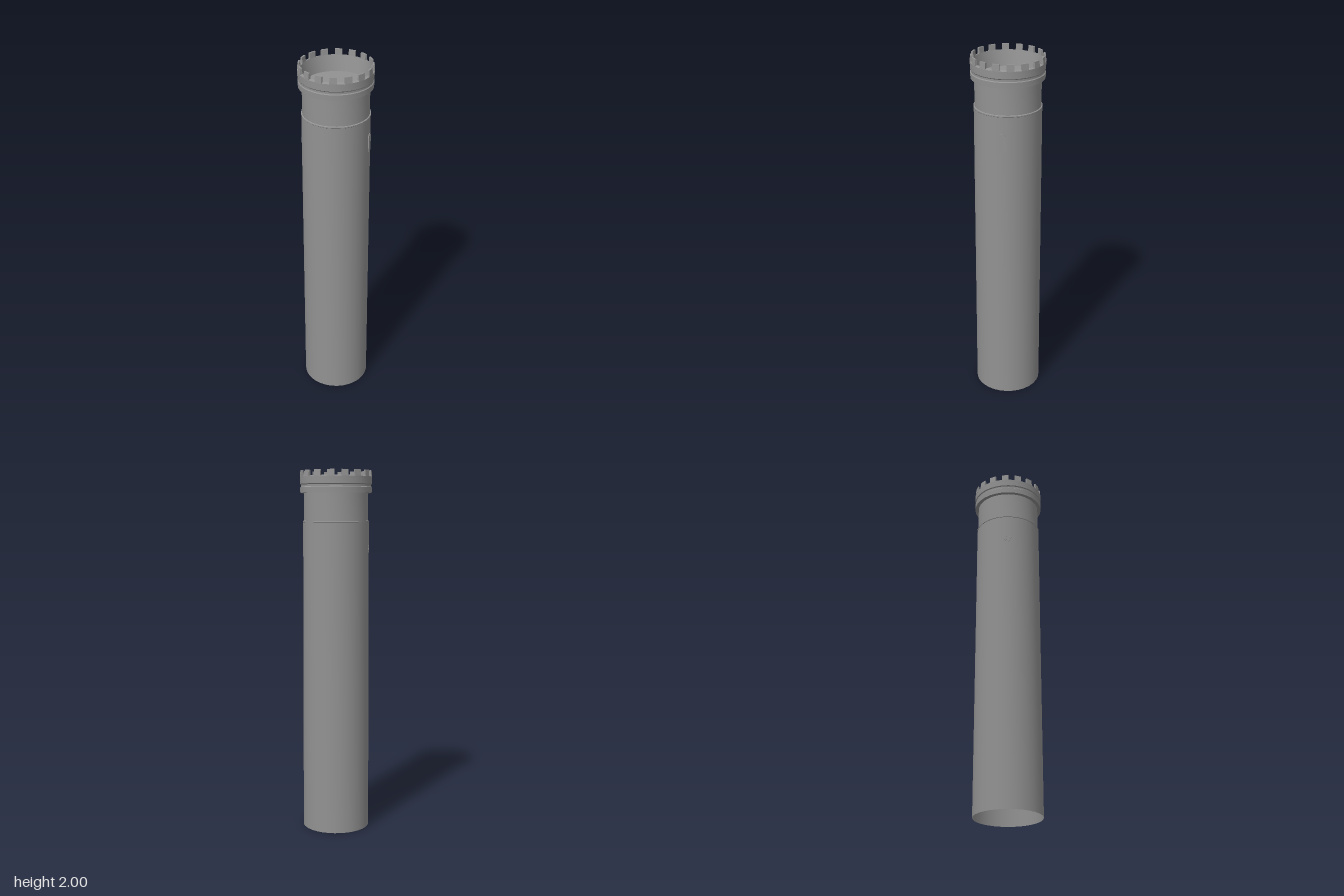
import * as THREE from 'three';
import { toCreasedNormals } from 'three/addons/utils/BufferGeometryUtils.js';

const SIDES = 32;
const STEP = (Math.PI * 2) / SIDES;

export function createModel() {
  const tower = new THREE.Group();
  tower.name = 'tower';
  const stone = new THREE.MeshStandardMaterial({ color: 0x929292, side: THREE.DoubleSide });
  stone.name = 'grey stone';

  const add = (name, geometry, parent = tower) => {
    const mesh = new THREE.Mesh(geometry, stone);
    mesh.name = name;
    parent.add(mesh);
    return mesh;
  };
  const turned = (name, profile) => {
    const points = profile.map(([r, y]) => new THREE.Vector2(r, y));
    return add(name, toCreasedNormals(new THREE.LatheGeometry(points, SIDES), 0.4));
  };

  // Tapered shaft, open at the foot, with a thin string course below the neck
  turned('shaft', [[0.186, 0], [0.181, 1.718]]);
  turned('stringCourse', [[0.181, 1.718], [0.183, 1.72], [0.183, 1.726], [0.177, 1.728]]);
  turned('neck', [[0.177, 1.728], [0.176, 1.878]]);

  // Crown: two bands with a groove, then the sloping inner wall
  turned('crown', [
    [0.176, 1.878], [0.196, 1.878], [0.197, 1.908], [0.193, 1.912], [0.193, 1.922],
    [0.197, 1.927], [0.198, 1.966], [0.183, 1.97], [0.166, 1.885],
  ]);
  turned('roofFloor', [[0.166, 1.885], [0, 1.885]]);

  // Merlons: boxes bent onto the rim, one on every second side
  const merlons = new THREE.Group();
  merlons.name = 'battlements';
  tower.add(merlons);
  for (let i = 0; i < SIDES; i += 2) {
    const box = new THREE.BoxGeometry(1, 1, 1);
    const p = box.attributes.position;
    for (let v = 0; v < p.count; v++) {
      const top = p.getY(v) > 0;
      const angle = (i - 0.5 + p.getX(v)) * STEP;
      const r = p.getZ(v) > 0 ? (top ? 0.195 : 0.198) : (top ? 0.186 : 0.183);
      p.setXYZ(v, Math.sin(angle) * r, top ? 2 : 1.964, Math.cos(angle) * r);
    }
    const flat = box.toNonIndexed();
    flat.computeVertexNormals();
    add('merlon', flat, merlons);
  }

  // Group placed on the shaft wall, facing outward
  const onWall = (name, degrees, y, r) => {
    const group = new THREE.Group();
    const a = THREE.MathUtils.degToRad(degrees);
    group.name = name;
    group.position.set(Math.sin(a) * r, y, Math.cos(a) * r);
    group.rotation.y = a;
    tower.add(group);
    return group;
  };

  // Narrow window with a pointed head
  const outline = new THREE.Shape([
    [-0.019, -0.05], [0.019, -0.05], [0.019, 0.036], [0.009, 0.05], [-0.009, 0.05], [-0.019, 0.036],
  ].map(([x, y]) => new THREE.Vector2(x, y)));
  const slit = onWall('window', 49, 1.578, 0.176);
  add('windowPanel', new THREE.ExtrudeGeometry(outline, { depth: 0.009, bevelEnabled: false }), slit);

  // Small chipped stone on the far wall
  const chip = onWall('chippedStone', 247, 1.575, 0.1805);
  for (const angle of [0.5, 1.9]) {
    add('chip', new THREE.BoxGeometry(0.04, 0.012, 0.006), chip).rotation.z = angle;
  }
  return tower;
}
